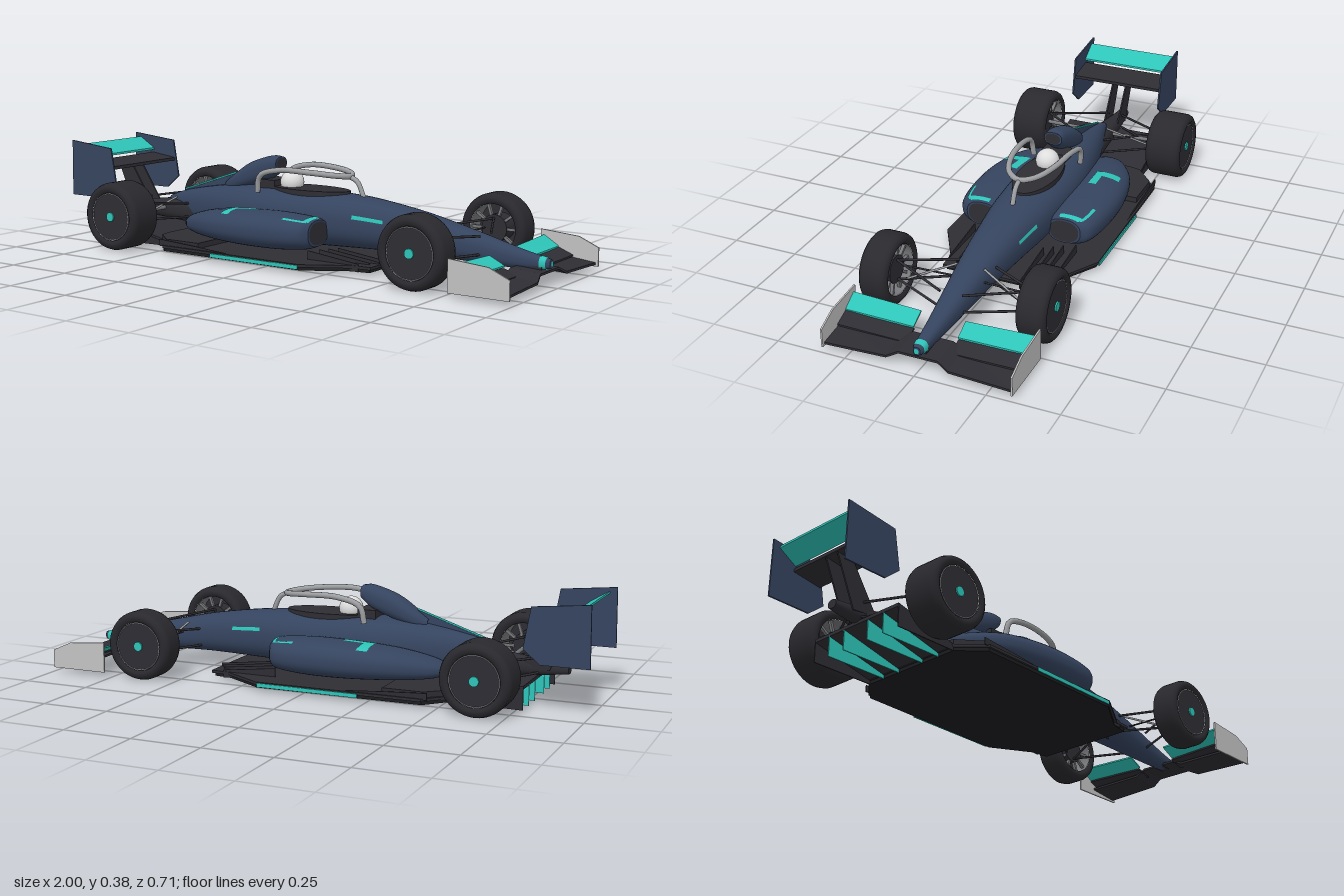
import * as THREE from 'three';

const mat = (name, color, side = THREE.FrontSide) => {
  const m = new THREE.MeshStandardMaterial({ color, side });
  m.name = name;
  return m;
};

export function createModel() {
  const car = new THREE.Group();
  car.name = 'racingCar';
  const navy = mat('navy paint', 0x35445f, THREE.DoubleSide);
  const teal = mat('teal accent', 0x2ec4b8, THREE.DoubleSide);
  const carbon = mat('carbon', 0x2e2d33);
  const rubber = mat('tyre rubber', 0x29292e);
  const black = mat('floor black', 0x1c1d20);
  const silver = mat('silver', 0x9c9ea1);
  const plateGrey = mat('light grey', 0xc2c2c2);
  const white = mat('helmet white', 0xdedede);
  const rimGrey = mat('rim grey', 0x77787b, THREE.DoubleSide);

  const add = (name, geo, m, parent = car) => {
    const mesh = new THREE.Mesh(geo, m);
    mesh.name = name;
    parent.add(mesh);
    return mesh;
  };

  // Smooth skin through sections [x, yBottom, yTop, zCentre, halfWidth], listed nose to tail
  const sampler = (secs, s = 1) => {
    const curve = f => new THREE.CatmullRomCurve3(secs.map(f), false, 'catmullrom');
    const a = curve(q => new THREE.Vector3(q[0], q[1], q[2]));
    const b = curve(q => new THREE.Vector3(q[0], q[3], q[4]));
    const pw = v => Math.sign(v) * Math.abs(v) ** 0.83;
    return (u, ang, off = 0, k = 1) => {
      const t = u / (secs.length - 1), p = a.getPoint(t), q = b.getPoint(t);
      return [p.x, (p.y + p.z) / 2 + ((p.z - p.y) / 2 * k + off) * pw(Math.sin(ang)),
        s * (q.y + (q.z * k + off) * pw(Math.cos(ang)))];
    };
  };
  const skin = (name, secs, m, { u0 = 0, u1 = secs.length - 1, a0 = -Math.PI / 2, a1 = 1.5 * Math.PI, off = 0, s = 1 } = {}) => {
    const at = sampler(secs, s), nu = Math.max(3, Math.ceil((u1 - u0) * 4)), na = Math.max(4, Math.ceil((a1 - a0) * 6));
    const pos = [], idx = [];
    for (let i = 0; i <= nu; i++)
      for (let j = 0; j <= na; j++) pos.push(...at(u0 + (u1 - u0) * i / nu, a0 + (a1 - a0) * j / na, off));
    for (let i = 0; i < nu; i++)
      for (let j = 0; j < na; j++) {
        const p = i * (na + 1) + j, q = p + na + 1;
        idx.push(...(s > 0 ? [p, p + 1, q, p + 1, q + 1, q] : [p, q, p + 1, p + 1, q, q + 1]));
      }
    const g = new THREE.BufferGeometry();
    g.setAttribute('position', new THREE.Float32BufferAttribute(pos, 3));
    g.setIndex(idx);
    g.computeVertexNormals();
    return add(name, g, m);
  };
  // Flat disc closing one section; dx pushes it outward
  const cap = (name, secs, m, { u = 0, s = 1, k = 1, dx = 0 } = {}) => {
    const at = sampler(secs, s), n = 32, pos = [];
    const pt = j => { const p = at(u, j / n * Math.PI * 2, 0, k); p[0] += dx; return p; };
    const c = at(u, 0, 0, 0); c[0] += dx;
    for (let j = 0; j < n; j++)
      pos.push(...c, ...((u === 0) === (s > 0) ? [...pt(j + 1), ...pt(j)] : [...pt(j), ...pt(j + 1)]));
    const g = new THREE.BufferGeometry();
    g.setAttribute('position', new THREE.Float32BufferAttribute(pos, 3));
    g.computeVertexNormals();
    return add(name, g, m);
  };
  // Extruded plates: upright (x, y) or lying (x, z)
  const shape = pts => new THREE.Shape(pts.map(p => new THREE.Vector2(...p)));
  const upright = (name, pts, z, t, m) => add(name, new THREE.ExtrudeGeometry(shape(pts), { depth: t, bevelEnabled: false }).translate(0, 0, z - t / 2), m);
  const lying = (name, half, y, t, m) => {
    const pts = [...half, ...half.slice().reverse().map(([x, z]) => [x, -z])];
    return add(name, new THREE.ExtrudeGeometry(shape(pts), { depth: t, bevelEnabled: false }).rotateX(-Math.PI / 2).translate(0, y, 0), m);
  };
  // Aerofoil slab from stations [z, xLead, yLead, xTrail, yTrail], z rising
  const wing = (name, st, t, m) => {
    const pos = [], ring = st.map(([z, a, b, c, d]) => [[a, b, z], [c, d, z], [c, d + t, z], [a, b + t, z]]);
    const tri = (...p) => p.forEach(v => pos.push(...v));
    for (let i = 0; i + 1 < ring.length; i++)
      for (let k = 0; k < 4; k++) {
        const l = (k + 1) % 4, p = ring[i], q = ring[i + 1];
        tri(p[k], q[k], p[l]); tri(p[l], q[k], q[l]);
      }
    const f = ring[0], e = ring[ring.length - 1];
    tri(f[0], f[1], f[2]); tri(f[0], f[2], f[3]); tri(e[0], e[2], e[1]); tri(e[0], e[3], e[2]);
    const g = new THREE.BufferGeometry();
    g.setAttribute('position', new THREE.Float32BufferAttribute(pos, 3));
    g.computeVertexNormals();
    return add(name, g, m);
  };
  const rod = (name, a, b, r, m) => {
    const p = new THREE.Vector3(...a), q = new THREE.Vector3(...b);
    const mesh = add(name, new THREE.CylinderGeometry(r, r, p.distanceTo(q), 8), m);
    mesh.position.copy(p).lerp(q, 0.5);
    mesh.quaternion.setFromUnitVectors(new THREE.Vector3(0, 1, 0), q.sub(p).normalize());
  };
  const tube = (name, pts, r, m) => add(name, new THREE.TubeGeometry(new THREE.CatmullRomCurve3(pts.map(p => new THREE.Vector3(...p))), 48, r, 10), m);

  // Main body, nose to tail
  const body = [[0.975, 0.065, 0.095, 0, 0.013], [0.95, 0.06, 0.1, 0, 0.021], [0.85, 0.053, 0.122, 0, 0.031], [0.7, 0.056, 0.16, 0, 0.048],
    [0.5, 0.062, 0.205, 0, 0.072], [0.3, 0.058, 0.235, 0, 0.094], [0.18, 0.055, 0.244, 0, 0.108], [0, 0.05, 0.249, 0, 0.118],
    [-0.15, 0.05, 0.25, 0, 0.115], [-0.3, 0.05, 0.243, 0, 0.097], [-0.45, 0.07, 0.222, 0, 0.066], [-0.58, 0.09, 0.195, 0, 0.032], [-0.65, 0.1, 0.17, 0, 0.014]];
  skin('body', body, navy);
  cap('noseCap', body, navy);
  cap('noseDisc', body, teal, { k: 0.7, dx: 0.003 });
  cap('bodyTail', body, carbon, { u: 12 });
  skin('noseBand', body, teal, { u0: 0.75, u1: 1.15, off: 0.0015 });
  for (const a of [0.2, Math.PI - 0.34]) skin('bodyStripe', body, teal, { u0: 4.6, u1: 5.35, a0: a, a1: a + 0.14, off: 0.002 });

  // Cockpit, driver and halo
  const oval = new THREE.Shape().absellipse(0.01, 0, 0.17, 0.075, 0, Math.PI * 2);
  add('cockpit', new THREE.ExtrudeGeometry(oval, { depth: 0.04, bevelEnabled: false, curveSegments: 20 }).rotateX(-Math.PI / 2).translate(0, 0.213, 0), carbon);
  add('headrest', new THREE.BoxGeometry(0.07, 0.05, 0.1), carbon).position.set(-0.15, 0.25, 0);
  const helmet = add('helmet', new THREE.SphereGeometry(0.044, 28, 18), white);
  helmet.position.set(-0.07, 0.268, 0);
  const hoop = [[-0.16, 0.235, 0.094], [-0.145, 0.295, 0.099], [-0.06, 0.322, 0.098], [0.07, 0.321, 0.085], [0.155, 0.313, 0.05]];
  tube('haloHoop', [...hoop, [0.185, 0.308, 0], ...hoop.slice().reverse().map(([x, y, z]) => [x, y, -z])], 0.0105, silver);
  tube('haloPillar', [[0.18, 0.308, 0], [0.215, 0.29, 0], [0.245, 0.23, 0]], 0.009, silver);

  // Air intake and spine
  const intake = [[-0.12, 0.308, 0.357, 0, 0.035], [-0.16, 0.275, 0.359, 0, 0.039], [-0.25, 0.24, 0.33, 0, 0.042], [-0.32, 0.22, 0.285, 0, 0.037], [-0.37, 0.21, 0.25, 0, 0.018]];
  skin('airIntake', intake, navy);
  cap('intakeFront', intake, navy);
  cap('intakeOpening', intake, carbon, { k: 0.82, dx: 0.002 });
  rod('spineLine', [-0.33, 0.283, 0], [-0.58, 0.2, 0], 0.0035, teal);
  upright('spineFin', [[-0.3, 0.23], [-0.58, 0.19], [-0.58, 0.198], [-0.33, 0.28]], 0, 0.004, navy);

  // Side pods
  const pod = [[0.155, 0.075, 0.168, 0.16, 0.062], [0.12, 0.064, 0.177, 0.168, 0.09], [0, 0.055, 0.185, 0.172, 0.102], [-0.15, 0.055, 0.181, 0.168, 0.104],
    [-0.3, 0.06, 0.167, 0.15, 0.092], [-0.42, 0.066, 0.138, 0.115, 0.065], [-0.48, 0.08, 0.11, 0.095, 0.03]];
  const podMarks = [[3.25, 3.5, 0.88, 1.72], [2.75, 3.5, 1.55, 1.75], [0.3, 0.85, 0.95, 1.85], [0.5, 1.6, 0.88, 1.02]];
  for (const s of [1, -1]) {
    skin('sidePod', pod, navy, { s });
    cap('podFront', pod, navy, { s });
    cap('podInlet', pod, carbon, { s, k: 0.88, dx: 0.002 });
    cap('podTail', pod, navy, { u: 6, s });
    podMarks.forEach(([u0, u1, a0, a1]) => skin('podAccent', pod, teal, { u0, u1, a0, a1, s, off: 0.002 }));
  }

  // Floor and diffuser
  lying('floorPlank', [[0.39, 0.19], [0.32, 0.2], [0.17, 0.29], [-0.45, 0.285], [-0.53, 0.2]], 0.012, 0.012, black);
  lying('floorDeck', [[0.4, 0.2], [0.33, 0.205], [0.17, 0.298], [-0.45, 0.292], [-0.535, 0.2]], 0.024, 0.01, carbon);
  lying('rearDeck', [[-0.3, 0.27], [-0.45, 0.27], [-0.53, 0.2], [-0.54, 0.15]], 0.034, 0.02, carbon);
  wing('diffuser', [[-0.2, -0.5, 0.018, -0.78, 0.08], [0.2, -0.5, 0.018, -0.78, 0.08]], 0.012, carbon);
  for (const s of [1, -1]) {
    [[0.2, carbon], [0.13, teal], [0.057, teal]].forEach(([z, m]) =>
      upright('diffuserFin', [[-0.53, 0.012], [-0.78, 0.008], [-0.78, 0.085], [-0.53, 0.028]], s * z, 0.004, m));
    [0.1, 0.13, 0.16, 0.2].forEach((z, i) =>
      upright('floorFence', [[0.2 - i * 0.02, 0.03], [0.41 - i * 0.02, 0.012], [0.41 - i * 0.02, 0.04], [0.2 - i * 0.02, 0.065]], s * z, 0.004, carbon));
    upright('floorEdgeStripe', [[-0.22, 0.016], [0.165, 0.016], [0.165, 0.03], [-0.22, 0.03]], s * 0.299, 0.004, teal);
    upright('floorEdgeFence', [[-0.47, 0.03], [-0.1, 0.03], [-0.3, 0.045], [-0.47, 0.055]], s * 0.285, 0.004, carbon);
  }

  // Front wing
  const fw = [[0, 0.97, 0.05, 0.86, 0.058], [0.07, 0.97, 0.05, 0.86, 0.058], [0.11, 0.98, 0.03, 0.86, 0.04], [0.333, 0.985, 0.024, 0.86, 0.038]];
  wing('frontWingPlane', [...fw.slice(1).reverse().map(([z, ...r]) => [-z, ...r]), ...fw], 0.008, carbon);
  const flaps = [['frontWingMidFlap', 0.9, 0.044, 0.84, 0.068, carbon], ['frontWingTopFlap', 0.845, 0.07, 0.788, 0.105, teal]];
  for (const s of [1, -1]) {
    flaps.forEach(([name, a, b, c, d, m]) => {
      const st = [[s * 0.08, a, b - 0.003, c, d - 0.01], [s * 0.332, a, b, c, d]];
      wing(name, s > 0 ? st : st.reverse(), 0.006, m);
    });
    upright('frontEndplate', [[0.775, 0.018], [0.995, 0.018], [0.995, 0.085], [0.92, 0.118], [0.775, 0.13]], s * 0.335, 0.006, plateGrey);
    upright('noseMount', [[0.87, 0.055], [0.95, 0.052], [0.95, 0.075], [0.87, 0.085]], s * 0.018, 0.006, carbon);
  }

  // Rear wing, its supports and the gearbox
  wing('rearWingPlane', [[-0.183, -0.79, 0.277, -0.905, 0.292], [0.183, -0.79, 0.277, -0.905, 0.292]], 0.012, carbon);
  wing('rearWingFlap', [[-0.183, -0.9, 0.314, -0.97, 0.356], [0.183, -0.9, 0.314, -0.97, 0.356]], 0.008, teal);
  for (const s of [1, -1]) {
    upright('rearEndplate', [[-1, 0.165], [-0.83, 0.165], [-0.77, 0.215], [-0.795, 0.36], [-0.997, 0.38]], s * 0.185, 0.006, navy);
    upright('rearWingPylon', [[-0.72, 0.12], [-0.82, 0.11], [-0.9, 0.292], [-0.83, 0.285]], s * 0.028, 0.006, carbon);
  }
  const tail = [[-0.5, 0.07, 0.17, 0, 0.05], [-0.65, 0.08, 0.16, 0, 0.04], [-0.8, 0.09, 0.14, 0, 0.028], [-0.885, 0.1, 0.132, 0, 0.02]];
  skin('gearbox', tail, carbon);
  cap('gearboxEnd', tail, carbon, { u: 3 });

  // Wheels and suspension
  const wheel = (name, x, z, w, s) => {
    const g = new THREE.Group();
    g.name = name;
    g.position.set(x, 0.128, s * z);
    car.add(g);
    const h = w / 2;
    const half = [[0.09, h - 0.008], [0.1, h], [0.112, h - 0.002], [0.122, h - 0.01], [0.127, h - 0.024]];
    const prof = [...half.map(([r, y]) => [r, -y]), ...half.slice().reverse()].map(p => new THREE.Vector2(...p));
    add('tyre', new THREE.LatheGeometry(prof, 44).rotateX(Math.PI / 2), rubber, g);
    add('rimBarrel', new THREE.CylinderGeometry(0.09, 0.09, w - 0.018, 36, 1, true).rotateX(Math.PI / 2), rimGrey, g);
    const disc = (n, r, d, zz, m) => add(n, new THREE.CylinderGeometry(r, r, d, 32).rotateX(Math.PI / 2).translate(0, 0, s * zz), m, g);
    disc('wheelCover', 0.0895, 0.01, h - 0.013, carbon);
    disc('wheelHub', 0.017, 0.012, h - 0.009, teal);
    disc('brakeDrum', 0.05, w * 0.6, 0, carbon);
    add('rimRing', new THREE.TorusGeometry(0.087, 0.0013, 6, 44).translate(0, 0, s * (h - 0.008)), silver, g);
    for (let i = 0; i < 10; i++)
      add('spoke', new THREE.BoxGeometry(0.05, 0.01, 0.012).translate(0.066, 0, -s * (h - 0.03)).rotateZ(i * Math.PI / 5), rimGrey, g);
  };
  for (const s of [1, -1]) {
    wheel('frontWheel', 0.63, 0.286, 0.106, s);
    wheel('rearWheel', -0.655, 0.285, 0.14, s);
    [[0.63, 0.25, [0.52, 0.06], [0.73, 0.04], 0.165, 0.09], [-0.655, 0.235, [-0.53, 0.045], [-0.78, 0.025], 0.165, 0.1]].forEach(([x, z, p, q, hi, lo]) => {
      for (const y of [hi, lo])
        for (const [bx, bz] of [p, q]) rod('wishbone', [x, y, s * z], [bx, y === hi ? y - 0.012 : y, s * bz], 0.0045, carbon);
    });
    rod('frontPushrod', [0.62, 0.095, s * 0.22], [0.58, 0.172, s * 0.05], 0.004, silver);
    rod('steeringRod', [0.6, 0.13, s * 0.24], [0.6, 0.135, s * 0.05], 0.0035, carbon);
    rod('rearPushrod', [-0.65, 0.1, s * 0.22], [-0.6, 0.17, s * 0.03], 0.004, silver);
    rod('driveShaft', [-0.655, 0.128, s * 0.25], [-0.655, 0.125, s * 0.03], 0.008, rimGrey);
  }
  return car;
}
